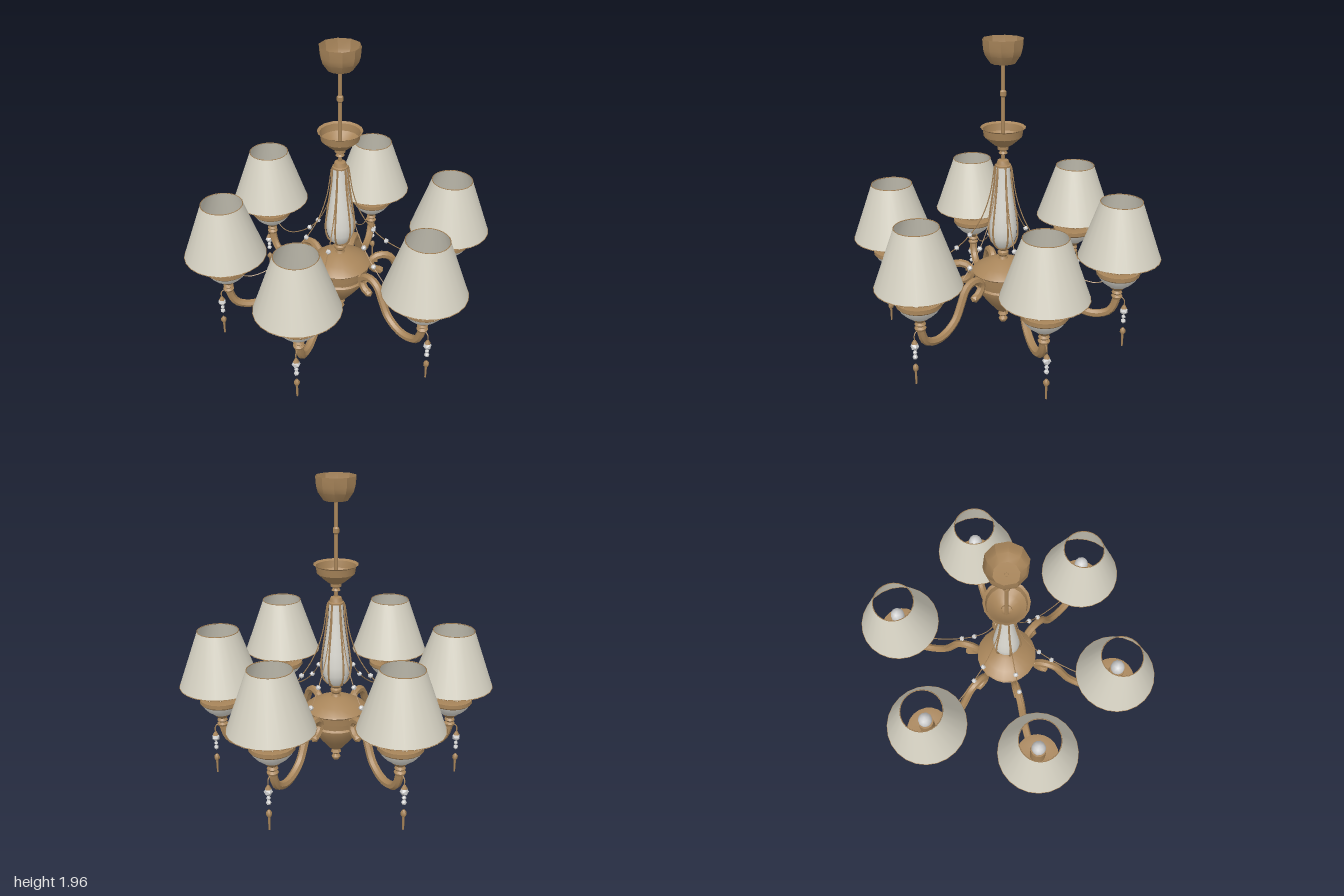
import * as THREE from 'three';
import { toCreasedNormals } from 'three/addons/utils/BufferGeometryUtils.js';

const material = (name, color) => {
  const m = new THREE.MeshStandardMaterial({ color, side: THREE.DoubleSide });
  m.name = name;
  return m;
};

export function createModel() {
  const bronze = material('bronze', 0xa8855a);
  const fabric = material('shade fabric', 0xd5d1c2);
  const porcelain = material('porcelain', 0xdcdad2);
  const crystal = material('crystal', 0xcfcfcf);

  const add = (parent, name, geometry, mat, x = 0, y = 0, z = 0) => {
    const mesh = new THREE.Mesh(geometry, mat);
    mesh.name = name;
    mesh.position.set(x, y, z);
    parent.add(mesh);
    return mesh;
  };
  // turned part from [radius, height] pairs, bottom to top
  const turned = (points, sides) => toCreasedNormals(
    new THREE.LatheGeometry(points.map(p => new THREE.Vector2(...p)), sides), 0.55);
  // tube in the radial plane from [distance, height] pairs
  const tube = (points, radius, steps, sides) => toCreasedNormals(new THREE.TubeGeometry(
    new THREE.CatmullRomCurve3(points.map(([r, y]) => new THREE.Vector3(0, y, r))), steps, radius, sides), 0.55);
  const gem = (radius, detail = 0) => new THREE.IcosahedronGeometry(radius, detail);

  const model = new THREE.Group();
  model.name = 'chandelier';

  // ceiling canopy, hanging rod and upper dish
  add(model, 'canopy', turned([[0, 1.81], [0.075, 1.815], [0.11, 1.865], [0.12, 1.9], [0.125, 1.96]], 10), bronze);
  add(model, 'rod', turned([[0.012, 1.2], [0.012, 1.61], [0.02, 1.62], [0.02, 1.645], [0.012, 1.655], [0.012, 1.815]], 8), bronze);
  add(model, 'upperDish', turned([[0.014, 1.25], [0.028, 1.26], [0.018, 1.275], [0.034, 1.285],
    [0.034, 1.305], [0.055, 1.315], [0.085, 1.34], [0.118, 1.37], [0.125, 1.415], [0.14, 1.425]], 16), bronze);

  // central column
  add(model, 'columnCap', turned([[0.05, 1.175], [0.05, 1.185], [0.042, 1.19], [0.034, 1.215], [0, 1.225]], 12), bronze);
  const vase = [[0.045, 0.635], [0.068, 0.66], [0.085, 0.71], [0.088, 0.77], [0.078, 0.86],
    [0.062, 0.97], [0.048, 1.08], [0.042, 1.18]];
  add(model, 'column', turned(vase, 20), porcelain);
  add(model, 'columnFoot', turned([[0.045, 0.53], [0.03, 0.555], [0.024, 0.57], [0.036, 0.585],
    [0.036, 0.6], [0.024, 0.61], [0.048, 0.63], [0.048, 0.64], [0, 0.64]], 12), bronze);

  // hub with band, lower cone and finial
  add(model, 'hub', turned([[0.022, 0.17], [0.045, 0.185], [0.1, 0.25], [0.165, 0.335], [0.172, 0.365],
    [0.16, 0.375], [0.165, 0.41], [0.185, 0.42], [0.19, 0.465], [0.2, 0.475], [0.19, 0.485],
    [0.14, 0.515], [0.06, 0.55], [0, 0.555]], 20), bronze);
  add(model, 'finial', turned([[0, 0.09], [0.02, 0.095], [0.03, 0.115], [0.016, 0.135], [0.034, 0.15], [0.022, 0.175]], 10), bronze);

  const REACH = 0.738;
  const armPath = [[0.27, 0.365], [0.235, 0.38], [0.205, 0.43], [0.24, 0.475], [0.3, 0.483], [0.35, 0.455],
    [0.39, 0.38], [0.445, 0.285], [0.53, 0.23], [0.61, 0.218], [0.69, 0.245], [0.725, 0.3], [REACH, 0.36]];
  const wirePath = [[0.055, 1.17], [0.085, 0.98], [0.14, 0.82], [0.22, 0.69], [0.31, 0.59],
    [0.42, 0.505], [0.52, 0.45], [0.6, 0.435], [0.67, 0.46]];

  const makeBranch = () => {
    const branch = new THREE.Group();
    branch.name = 'branch';

    // scrolled arm and its joint to the hub
    add(branch, 'arm', tube(armPath, 0.026, 26, 7), bronze);
    add(branch, 'armTip', gem(0.028), bronze, 0, 0.365, 0.27);
    add(branch, 'armJoint', tube([[0.15, 0.45], [0.25, 0.45]], 0.018, 1, 6), bronze);
    add(branch, 'columnRib', tube(vase.map(([r, y]) => [r + 0.007, y]), 0.006, 14, 5), bronze);

    // bead string swagged from column to cup
    add(branch, 'wire', tube(wirePath, 0.0035, 24, 4), bronze);
    for (const i of [3, 4]) add(branch, 'stringBead', gem(0.018), crystal, 0, wirePath[i][1], wirePath[i][0]);

    // lamp, centred over the arm end
    const lamp = new THREE.Group();
    lamp.name = 'lamp';
    lamp.position.z = REACH;
    branch.add(lamp);
    add(lamp, 'cupStem', turned([[0, 0.335], [0.03, 0.345], [0.036, 0.36], [0.022, 0.372], [0.034, 0.385],
      [0.024, 0.4], [0.035, 0.41], [0.065, 0.44]], 12), bronze);
    add(lamp, 'cupBowl', turned([[0.06, 0.435], [0.092, 0.46], [0.115, 0.485], [0.128, 0.51]], 20), porcelain);
    add(lamp, 'cupRim', turned([[0.128, 0.508], [0.138, 0.518], [0.138, 0.543], [0.1, 0.545], [0.045, 0.538]], 20), bronze);
    add(lamp, 'candle', turned([[0.05, 0.535], [0.05, 0.73], [0, 0.73]], 12), bronze);
    add(lamp, 'bulb', gem(0.046, 1), crystal, 0, 0.77).scale.y = 1.3;
    add(lamp, 'shade', turned([[0.259, 0.632], [0.13, 1.0]], 24), fabric);
    for (const [r, y] of [[0.2575, 0.634], [0.13, 0.999]]) {
      add(lamp, 'shadeTrim', new THREE.TorusGeometry(r, 0.003, 4, 24), bronze, 0, y).rotation.x = Math.PI / 2;
    }

    // hanging crystal drop
    const drop = new THREE.Group();
    drop.name = 'drop';
    drop.position.z = REACH + 0.05;
    branch.add(drop);
    add(branch, 'dropHook', tube([[REACH, 0.345], [REACH + 0.035, 0.348], [REACH + 0.05, 0.33], [REACH + 0.05, 0.29]], 0.004, 8, 4), bronze);
    add(drop, 'dropCap', new THREE.CylinderGeometry(0.008, 0.02, 0.022, 6), bronze, 0, 0.285);
    add(drop, 'largeBead', gem(0.027), crystal, 0, 0.255);
    add(drop, 'smallBead', gem(0.014), crystal, 0, 0.213);
    add(drop, 'smallBead', gem(0.017), crystal, 0, 0.183);
    add(drop, 'spindleCap', turned([[0.012, 0.09], [0.018, 0.1], [0.018, 0.118], [0.006, 0.135]], 6), bronze);
    add(drop, 'spindle', new THREE.CylinderGeometry(0.008, 0.006, 0.1, 6), bronze, 0, 0.05);
    return branch;
  };

  // six branches around the column
  for (let i = 0; i < 6; i++) {
    const branch = makeBranch();
    branch.rotation.y = THREE.MathUtils.degToRad(i * 59.65);
    model.add(branch);
  }
  return model;
}
